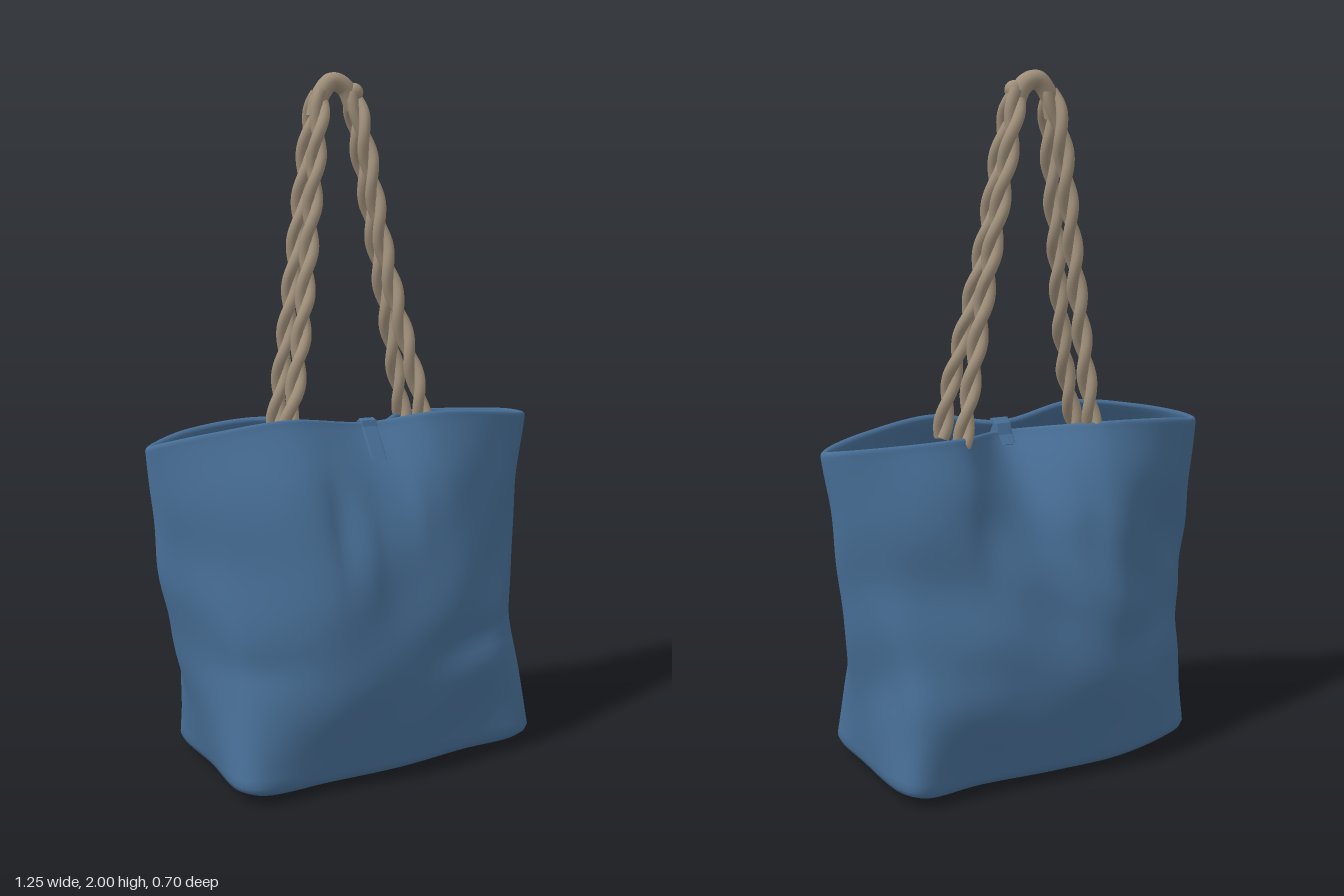
import * as THREE from 'three';

const denim = new THREE.MeshStandardMaterial({ color: 0x486f97 });
denim.name = 'blue cloth';
const hemp = new THREE.MeshStandardMaterial({ color: 0xa0907b });
hemp.name = 'rope tan';
const yellow = new THREE.MeshStandardMaterial({ color: 0xe2de94 });
yellow.name = 'lining yellow';

const V = (x, y, z) => new THREE.Vector3(x, y, z);

// Plan outlines (x, z), running from the left tip round the front, right and back
const BASE = [[.51, -.03], [.51, .17], [.47, .22], [.27, .25], [.03, .3], [-.22, .32], [-.43, .335], [-.475, .29],
  [-.48, .07], [-.49, -.17], [-.46, -.22], [-.22, -.31], [.03, -.32], [.27, -.31], [.45, -.325], [.49, -.28]];
const LOW = [[.54, -.07], [.5, .1], [.45, .18], [.28, .26], [.03, .32], [-.22, .345], [-.42, .28], [-.475, .2],
  [-.54, .03], [-.5, -.12], [-.45, -.19], [-.22, -.32], [.03, -.35], [.27, -.345], [.44, -.31], [.49, -.22]];
const MID = [[.582, -.08], [.53, .02], [.46, .1], [.27, .22], [.03, .27], [-.22, .3], [-.44, .21], [-.53, .12],
  [-.6, .02], [-.54, -.07], [-.45, -.13], [-.22, -.26], [.03, -.27], [.27, -.28], [.46, -.23], [.54, -.16]];
const RIM = [[.625, -.07], [.59, -.022], [.46, .038], [.22, .096], [.03, .05], [-.24, .105], [-.46, .08], [-.585, .037],
  [-.63, 0], [-.585, -.067], [-.47, -.125], [-.22, -.152], [.03, 0], [.24, -.155], [.46, -.146], [.59, -.112]];
const RIM_Y = [.96, .965, .985, 1.005, .98, 1.01, .985, .96, .945, .95, .97, .985, .955, .975, .97, .965];
// Upper wall swells out a little between the middle and the rim
const HIGH = MID.map(([x, z], i) => [x + (RIM[i][0] - x) * .55, (z + (RIM[i][1] - z) * .55) * 1.11]);

// Soft dents and bulges: x, y, width, height, depth, wall (1 front, -1 back)
const FOLDS = [[.32, .36, .14, .045, -.018, 1], [.3, .24, .18, .07, .01, 1], [-.14, .76, .03, .15, -.018, 1],
  [-.06, .72, .03, .14, .012, 1], [.13, .8, .035, .12, .01, 1], [-.38, .36, .1, .05, -.01, 1],
  [.46, .4, .03, .12, -.012, 1], [-.15, .75, .05, .15, -.016, -1],
  [.2, .72, .06, .16, -.012, -1], [-.33, .38, .12, .06, -.014, -1], [.3, .35, .13, .06, -.006, -1]];

function foldDepth(p) {
  const fade = Math.sin(Math.PI * THREE.MathUtils.clamp((p.y - .03) / .96, 0, 1));
  let d = .003 * fade * (Math.sin(p.x * 17 + p.y * 9) + Math.sin(p.y * 23 - p.x * 11 + p.z * 19));
  for (const [x, y, w, h, depth, wall] of FOLDS) {
    if (p.z * wall > 0) d += fade * depth * Math.exp(-(((p.x - x) / w) ** 2) - ((p.y - y) / h) ** 2);
  }
  return d;
}

const COLS = 192, ROWS = 48, THICK = .022;

function closedLoop(outline, heightAt) {
  const c = new THREE.CatmullRomCurve3(outline.map(([x, z], i) => V(x, heightAt(i), z)), true, 'centripetal');
  return Array.from({ length: COLS }, (_, i) => c.getPoint(i / COLS));
}

// One upright curve per column of the wall
function wallColumns() {
  const loops = [closedLoop(BASE, () => .05), closedLoop(LOW, () => .3), closedLoop(MID, () => .6),
    closedLoop(HIGH, i => .6 + (RIM_Y[i] - .6) * .58), closedLoop(RIM, i => RIM_Y[i])];
  return loops[0].map((_, i) => new THREE.CatmullRomCurve3(loops.map(l => l[i]), false, 'centripetal'));
}

// Outer wall, rolled rim, inner wall and floor as one closed skin
function bagGeometry(columns) {
  const wall = Array.from({ length: ROWS + 1 }, (_, j) => columns.map(c => c.getPoint(j / ROWS)));
  const outward = wall.map(row => row.map((_, i) => {
    const t = row[(i + 1) % COLS].clone().sub(row[(i + COLS - 1) % COLS]);
    return V(t.z, 0, -t.x).normalize();
  }));
  const shifted = (j, off, up, wrinkled) => wall[j].map((p, i) => {
    const q = p.clone().addScaledVector(outward[j][i], off + (wrinkled ? foldDepth(p) : 0));
    q.y += up;
    return q;
  });
  const flat = (s, y) => wall[0].map(p => V(p.x * s, y, p.z * s));

  const rows = [flat(.001, .001), flat(.5, .004), flat(.86, .012), flat(.94, .021), flat(.985, .034)];
  for (let j = 0; j <= ROWS; j++) rows.push(shifted(j, 0, 0, true));
  for (let k = 1; k < 6; k++) {
    const a = Math.PI * k / 6, r = THICK / 2;
    rows.push(shifted(ROWS, r * Math.cos(a) - r, r * 1.2 * Math.sin(a), false));
  }
  // The inner wall thickens towards the floor
  for (let j = ROWS; j >= 0; j--) rows.push(shifted(j, -THICK - .02 * (1 - j / ROWS) ** 2, 0, true));
  rows.push(flat(.88, .045), flat(.001, .045));

  const index = [];
  for (let j = 0; j < rows.length - 1; j++) {
    for (let i = 0; i < COLS; i++) {
      const k = (i + 1) % COLS, a = j * COLS, b = a + COLS;
      index.push(a + i, b + i, a + k, a + k, b + i, b + k);
    }
  }
  const g = new THREE.BufferGeometry().setFromPoints(rows.flat());
  g.setIndex(index);
  g.computeVertexNormals();
  return g;
}

// Thin tab that follows the front wall, crosses the rim and ends behind it
function tabGeometry(columns) {
  const front = columns[COLS / 4], back = columns[COLS * 3 / 4];
  const outline = [.86, .89, .92, .95, .975, 1].map(t => front.getPoint(t)).map(p => [p.z + .001, p.y]);
  outline.push([.046, .996], [.03, 1], [.01, .987]);
  [1, .98, .96].map(t => back.getPoint(t)).forEach(p => outline.push([p.z - .002, p.y]));
  outline.push([.02, .9]);
  const shape = new THREE.Shape(outline.map(([z, y]) => new THREE.Vector2(-z, y)));
  const g = new THREE.ExtrudeGeometry(shape, { depth: .04, bevelSize: .003, bevelThickness: .005, bevelSegments: 2 });
  return g.rotateY(Math.PI / 2).translate(.012, 0, 0);
}

// Two strands wound round a centre line
function rope(points) {
  const group = new THREE.Group();
  const curve = new THREE.CatmullRomCurve3(points.map(p => V(...p)));
  const n = 90, turns = curve.getLength() / .26, frames = curve.computeFrenetFrames(n);
  for (const phase of [0, Math.PI]) {
    const strand = Array.from({ length: n + 1 }, (_, i) => {
      const a = phase + turns * 2 * Math.PI * i / n;
      return curve.getPointAt(i / n)
        .addScaledVector(frames.normals[i], .013 * Math.cos(a))
        .addScaledVector(frames.binormals[i], .013 * Math.sin(a));
    });
    const tube = new THREE.TubeGeometry(new THREE.CatmullRomCurve3(strand), 140, .017, 10);
    const mesh = new THREE.Mesh(tube, hemp);
    mesh.name = 'ropeStrand';
    group.add(mesh);
  }
  return group;
}

// Flat coloured patch on the inner floor, outlined in (x, z)
function patch(points, material) {
  const shape = new THREE.Shape(points.map(([x, z]) => new THREE.Vector2(x, -z)));
  const mesh = new THREE.Mesh(new THREE.ShapeGeometry(shape).rotateX(-Math.PI / 2), material);
  mesh.position.y = .05;
  mesh.name = 'liningPatch';
  return mesh;
}

export function createModel() {
  const model = new THREE.Group();
  model.name = 'ropeHandledBag';
  const add = (object, name) => { object.name = name; model.add(object); };

  const columns = wallColumns();
  add(new THREE.Mesh(bagGeometry(columns), denim), 'bagBody');
  add(new THREE.Mesh(tabGeometry(columns), denim), 'closureTab');

  // Four rope legs gathered under one smooth grip
  add(rope([[-.245, .95, .076], [-.21, 1.08, .06], [-.16, 1.32, .017], [-.126, 1.53, -.018], [-.096, 1.74, -.04],
    [-.078, 1.86, -.056], [-.062, 1.94, -.085]]), 'frontRightRope');
  add(rope([[-.2, .95, -.12], [-.148, 1.36, -.113], [-.108, 1.65, -.122], [-.08, 1.86, -.12], [-.062, 1.94, -.1]]), 'backRightRope');
  add(rope([[.205, .95, .068], [.187, 1.08, .056], [.138, 1.32, .017], [.102, 1.53, -.018], [.073, 1.74, -.04],
    [.054, 1.86, -.056], [.042, 1.94, -.085]]), 'frontLeftRope');
  add(rope([[.23, .95, -.125], [.153, 1.36, -.113], [.102, 1.65, -.122], [.062, 1.86, -.12], [.042, 1.94, -.1]]), 'backLeftRope');
  const arch = new THREE.CatmullRomCurve3([V(-.078, 1.87, -.09), V(-.062, 1.93, -.09), V(-.025, 1.972, -.09),
    V(.015, 1.958, -.09), V(.045, 1.9, -.09)]);
  add(new THREE.Mesh(new THREE.TubeGeometry(arch, 40, .027, 14), hemp), 'grip');
  const knot = new THREE.Mesh(new THREE.SphereGeometry(.027, 18, 12), hemp);
  knot.position.set(.044, 1.943, -.085);
  add(knot, 'gripKnot');

  // Patterned floor lining
  const lining = new THREE.Group();
  lining.add(
    patch([[-.34, -.2], [-.19, -.22], [-.2, -.1], [-.21, -.06], [-.215, .2], [-.29, .2], [-.29, .03], [-.255, -.03],
      [-.28, -.08], [-.34, -.11]], yellow),
    patch([[-.43, -.16], [-.375, -.16], [-.375, -.1], [-.42, -.1]], hemp),
    patch([[-.19, -.22], [-.14, -.16], [-.16, .02], [-.212, .02], [-.21, -.06], [-.2, -.1]], hemp),
    patch([[.18, -.08], [.225, -.08], [.225, -.03], [.265, -.03], [.27, -.11], [.345, -.11], [.34, -.05], [.29, -.01],
      [.345, .02], [.33, .07], [.3, .15], [.18, .15], [.19, 0]], yellow),
    patch([[.37, -.22], [.41, -.22], [.42, -.12], [.44, -.05], [.45, .01], [.43, .1], [.325, .1], [.33, .07], [.345, .02],
      [.32, -.01], [.36, -.05], [.385, -.09]], hemp));
  add(lining, 'floorLining');
  return model;
}
